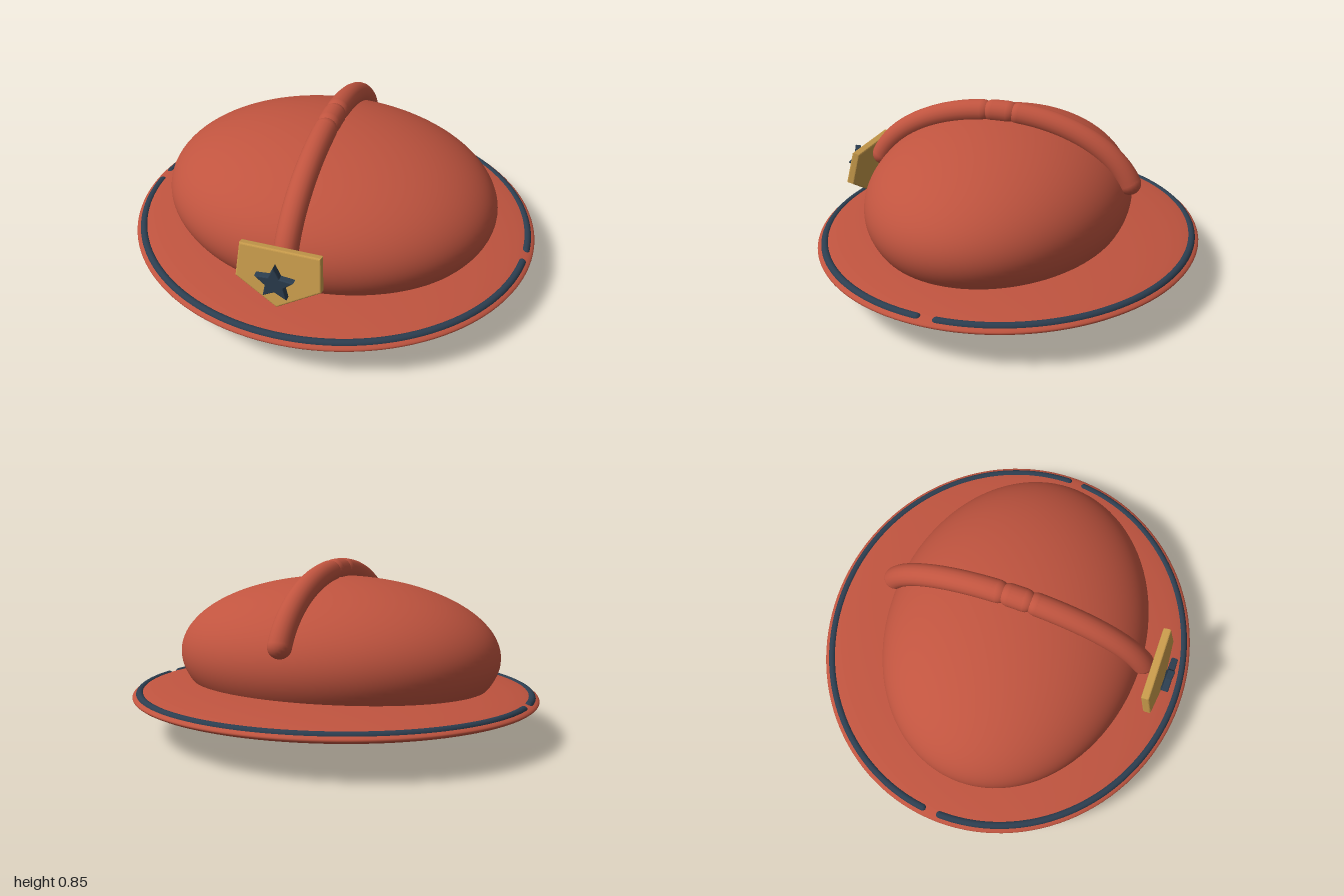
import * as THREE from 'three';

const red = new THREE.MeshStandardMaterial({ color: 0xc0543f });
red.name = 'helmetRed';
const navy = new THREE.MeshStandardMaterial({ color: 0x2c3e50 });
navy.name = 'trimNavy';
const gold = new THREE.MeshStandardMaterial({ color: 0xc89b4b });
gold.name = 'badgeGold';

function add(parent, name, geometry, material, x = 0, y = 0, z = 0) {
  const mesh = new THREE.Mesh(geometry, material);
  mesh.name = name;
  mesh.position.set(x, y, z);
  parent.add(mesh);
  return mesh;
}

// Tube through points sampled from fn(angle), with round ends
function roundedTube(parent, name, fn, a0, a1, steps, radius, material) {
  const group = new THREE.Group();
  group.name = name;
  const points = [];
  for (let i = 0; i <= steps; i++) points.push(fn(a0 + (a1 - a0) * i / steps));
  const curve = new THREE.CatmullRomCurve3(points);
  add(group, name + 'Body', new THREE.TubeGeometry(curve, steps * 2, radius, 20), material);
  for (const p of [points[0], points[steps]]) {
    add(group, name + 'End', new THREE.SphereGeometry(radius, 20, 14), material, p.x, p.y, p.z);
  }
  parent.add(group);
}

function extruded(points, thickness, bevel) {
  const shape = new THREE.Shape(points.map(([x, y]) => new THREE.Vector2(x, y)));
  const geometry = new THREE.ExtrudeGeometry(shape, {
    depth: thickness - 2 * bevel, bevelEnabled: true, bevelThickness: bevel,
    bevelSize: bevel, bevelOffset: -bevel, bevelSegments: 3,
  });
  return geometry.translate(0, 0, bevel - thickness / 2);
}

export function createModel() {
  const helmet = new THREE.Group();
  helmet.name = 'helmet';

  // Dome and brim: flattened ellipsoids
  add(helmet, 'dome', new THREE.SphereGeometry(1, 96, 64).scale(0.81, 0.38, 0.635), red, 0, 0.38, 0.043);
  add(helmet, 'brim', new THREE.SphereGeometry(1, 128, 48).scale(1, 0.075, 0.93), red, 0, 0.19, 0);

  // Crest: front and back ridges with a short joint on top
  const crest = a => new THREE.Vector3(0, 0.38 + 0.41 * Math.sin(a), 0.043 + 0.665 * Math.cos(a));
  const mid = Math.PI / 2;
  roundedTube(helmet, 'frontRidge', crest, 0.3, mid - 0.142, 24, 0.055, red);
  roundedTube(helmet, 'backRidge', crest, Math.PI - 0.3, mid + 0.142, 24, 0.055, red);
  roundedTube(helmet, 'crestJoint', crest, mid - 0.055, mid + 0.055, 4, 0.055, red);

  // Two trim arcs round the edge of the brim
  const edge = a => new THREE.Vector3(0.963 * Math.cos(a), 0.201, 0.894 * Math.sin(a));
  roundedTube(helmet, 'frontTrim', edge, 0.1, Math.PI, 64, 0.019, navy);
  roundedTube(helmet, 'backTrim', edge, Math.PI + 0.1, Math.PI * 2, 64, 0.019, navy);

  // Tilted shield badge
  const shield = [[-0.183, 0.135], [-0.195, -0.025], [0, -0.14], [0.195, -0.025], [0.183, 0.135]];
  const badge = add(helmet, 'badge', extruded(shield, 0.04, 0.008), gold, 0, 0.425, 0.768);
  badge.rotation.x = -0.23;

  // Upright star in front of the badge
  const star = [];
  for (let i = 0; i < 10; i++) {
    const r = i % 2 ? 0.044 : 0.092, a = Math.PI / 2 + i * Math.PI / 5;
    star.push([r * Math.cos(a), r * Math.sin(a)]);
  }
  add(helmet, 'star', extruded(star, 0.032, 0.006), navy, 0, 0.437, 0.82);

  return helmet;
}
